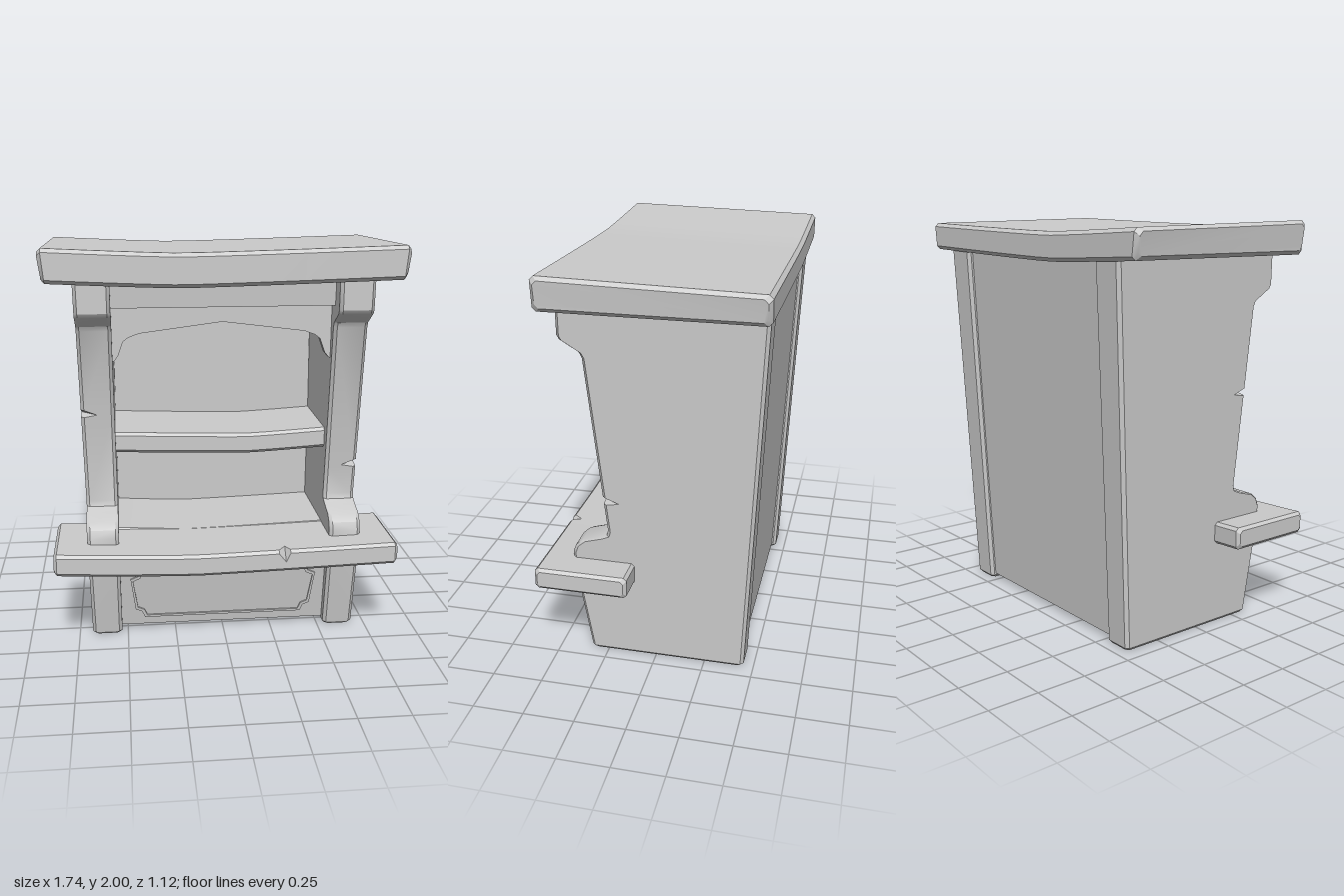
import * as THREE from 'three';
import { toCreasedNormals } from 'three/addons/utils/BufferGeometryUtils.js';

const material = new THREE.MeshStandardMaterial({ color: 0xcccccc });

function part(name, geometry) {
  const mesh = new THREE.Mesh(geometry, material);
  mesh.name = name;
  return mesh;
}

// Chamfered rectangle; the (a1, b1) corner can be cut deeper to make a chip.
function section(a0, a1, b0, b1, c, cut = c) {
  return [
    [a0 + c, b0], [a1 - c, b0], [a1, b0 + c], [a1, b1 - cut],
    [a1 - cut, b1], [a0 + c, b1], [a0, b1 - c], [a0, b0 + c],
  ];
}

// Skin a list of equal-length loops of [x, y, z] points and cap both ends.
function loft(loops, flip = false) {
  const n = loops[0].length, index = [];
  const tri = (a, b, c) => (flip ? index.push(a, c, b) : index.push(a, b, c));
  for (let r = 0; r < loops.length - 1; r++) {
    for (let i = 0; i < n; i++) {
      const j = (i + 1) % n, p = r * n, q = p + n;
      tri(p + i, q + j, p + j);
      tri(p + i, q + i, q + j);
    }
  }
  const last = (loops.length - 1) * n;
  for (let k = 1; k < n - 1; k++) {
    tri(0, k, k + 1);
    tri(last, last + k + 1, last + k);
  }
  const geometry = new THREE.BufferGeometry();
  geometry.setAttribute('position', new THREE.Float32BufferAttribute(loops.flat(2), 3));
  geometry.setIndex(index);
  return toCreasedNormals(geometry, 0.5);
}

// Sagging board running along x, bevelled all round.
function board({ half, z0, z1, y0, y1, c, low, sag, chip, shape = (p) => p }) {
  const xs = [-half, -half + c, half - c, half];
  for (let i = 1; i < 14; i++) xs.push(-half + (2 * half * i) / 14);
  if (chip !== undefined) xs.push(chip - 0.035, chip, chip + 0.022);
  xs.sort((a, b) => a - b);
  const loops = xs.map((x) => {
    const t = Math.abs(x - low) / (x < low ? half + low : half - low);
    const d = sag * (1 - Math.pow(t, 1.2));
    const e = Math.abs(x) === half ? c : 0;
    const cut = x === chip ? 0.06 : c;
    return section(z0 + e, z1 - e, y0 - d + e, y1 - d - e, c, cut).map(([z, y]) => shape([x, y, z]));
  });
  return loft(loops);
}

// Front edge of the side panels as [y, z], bottom to top.
const frontEdge = [
  [0, 0.335], [0.41, 0.4], [0.56, 0.415], [0.6, 0.4], [0.63, 0.365], [0.655, 0.28], [0.672, 0.24],
  [0.7, 0.232], [1.59, 0.322], [1.615, 0.335], [1.67, 0.425], [1.69, 0.437], [1.85, 0.437],
];

function frontAt(y) {
  const i = Math.max(1, frontEdge.findIndex((p) => p[0] >= y));
  const [ya, za] = frontEdge[i - 1], [yb, zb] = frontEdge[i];
  return za + ((zb - za) * (y - ya)) / (yb - ya);
}

// Tapered side panel with a chip in its outer front edge.
function sidePanel(side, chipY) {
  const ys = [...frontEdge.map((p) => p[0]), 0.015, chipY - 0.012, chipY, chipY + 0.025].sort((a, b) => a - b);
  const loops = ys.map((y) => {
    const t = y / 1.85, e = y === 0 ? 0.012 : 0;
    const cut = y === chipY ? 0.08 : 0.016;
    return section(
      0.53 + 0.017 * t + e, 0.682 + 0.038 * t - e,
      -0.45 - 0.087 * t + e, frontAt(y) - e, 0.016, cut,
    ).map(([x, z]) => [side * x, y, z]);
  });
  return loft(loops, side < 0);
}

// Extrude a z-y outline along x, centred.
function extrudeAcross(points, width) {
  const outline = new THREE.Shape(points.map((p) => new THREE.Vector2(...p)));
  return new THREE.ExtrudeGeometry(outline, { depth: width, bevelEnabled: false })
    .rotateY(-Math.PI / 2)
    .translate(width / 2, 0, 0);
}

// Panel outline with scooped corners, shrunk by d.
function panelOutline(d) {
  const right = [
    [0.41 - d, 0.07 + d], [0.425 - d, 0.105 + d], [0.458 - d, 0.12 + d],
    [0.482 - d, 0.3 - d], [0.443 - d, 0.318 - d], [0.43 - d, 0.36 - d],
  ];
  const left = right.map(([x, y]) => [-x, y]).reverse();
  return [...right, ...left].map((p) => new THREE.Vector2(...p));
}

export function createModel() {
  const model = new THREE.Group();

  // Roof board: top falls slightly to the back, ends lean outward
  model.add(part('topBoard', board({
    half: 0.872, z0: -0.56, z1: 0.49, y0: 1.838, y1: 2, c: 0.018, low: -0.22, sag: 0.028,
    shape: ([x, y, z]) => (y > 1.9 ? [x, y + (z - 0.49) * 0.022, z] : [x * 0.985, y, z]),
  })));

  model.add(part('leftSide', sidePanel(1, 0.86)));
  model.add(part('rightSide', sidePanel(-1, 1.165)));

  // Lower cabinet and back wall in one profile
  model.add(part('carcass', extrudeAcross([
    [0.28, 0.025], [0.336, 0.42], [-0.28, 0.42], [-0.28, 1.85], [-0.515, 1.85], [-0.427, 0.025],
  ], 1.08)));

  // Counter: wide front board and the floor behind it
  const counter = new THREE.Group();
  counter.name = 'counter';
  const slab = { y0: 0.43, y1: 0.54, c: 0.015, low: -0.17, sag: 0.028 };
  counter.add(part('counterFront', board({ ...slab, half: 0.853, z0: 0.1, z1: 0.562, chip: 0.288 })));
  counter.add(part('counterFloor', board({ ...slab, half: 0.56, z0: -0.31, z1: 0.2, sag: 0.022, y1: 0.535 })));
  model.add(counter);

  model.add(part('shelf', board({
    half: 0.57, z0: -0.31, z1: 0.19, y0: 0.942, y1: 1.047, c: 0.015, low: 0.13, sag: 0.024,
  })));

  // Header beam and arched valance
  model.add(part('header', extrudeAcross([[0.33, 1.7], [0.34, 1.85], [0.2, 1.85], [0.2, 1.7]], 1.1)));
  const half = [[0.555, 1.425], [0.535, 1.43], [0.515, 1.455], [0.49, 1.525], [0.465, 1.545], [0.41, 1.565]];
  const arch = new THREE.Shape([
    [-0.555, 1.75], ...half.map(([x, y]) => [-x, y]), [0, 1.617], ...[...half].reverse(), [0.555, 1.75],
  ].map((p) => new THREE.Vector2(...p)));
  const valance = part('valance', new THREE.ExtrudeGeometry(arch, {
    depth: 0.05, bevelEnabled: false,
  }));
  valance.position.z = 0.205;
  model.add(valance);

  // Raised moulding on the cabinet front
  const ring = new THREE.Shape(panelOutline(0));
  ring.holes.push(new THREE.Path(panelOutline(0.012).reverse()));
  const moulding = part('frontMoulding', new THREE.ExtrudeGeometry(ring, { depth: 0.008, bevelEnabled: false }));
  moulding.position.z = 0.2765;
  moulding.rotation.x = Math.atan(0.056 / 0.395);
  model.add(moulding);

  return model;
}
